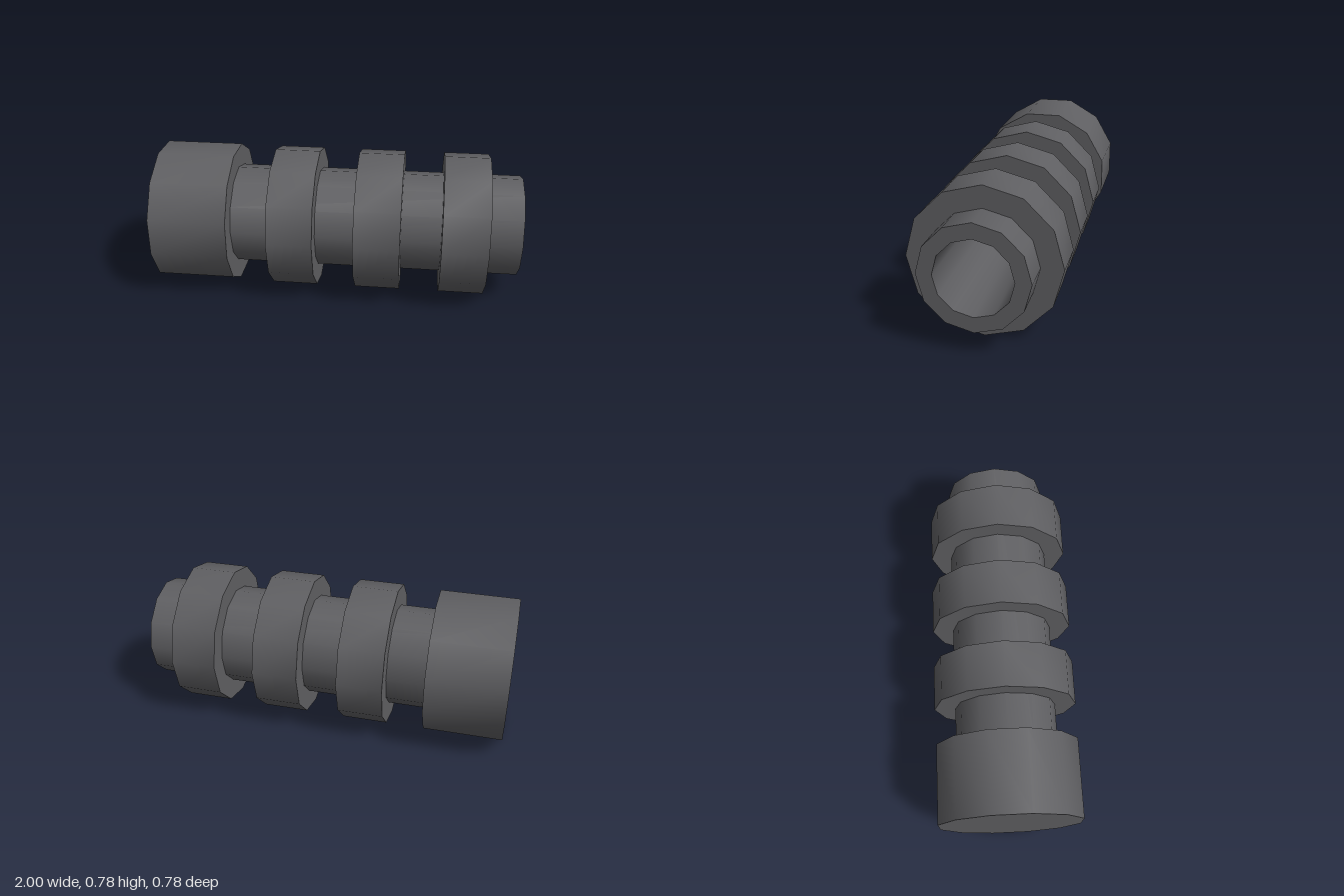
import * as THREE from 'three';
import { toCreasedNormals } from 'three/addons/utils/BufferGeometryUtils.js';

const SIDES = 12;
const RADIUS = 0.392;

// Turned part along x: profile given as [radius, x], outer side from -x to +x
function turned(name, profile, material, phiStart = 0) {
  const points = profile.map(([r, x]) => new THREE.Vector2(r, x));
  const lathe = new THREE.LatheGeometry(points, SIDES, phiStart);
  const geometry = toCreasedNormals(lathe, Math.PI / 4);
  geometry.rotateZ(-Math.PI / 2);
  const mesh = new THREE.Mesh(geometry, material);
  mesh.name = name;
  return mesh;
}

export function createModel() {
  const group = new THREE.Group();
  group.name = 'ribbedBarrel';
  const darkMetal = new THREE.MeshStandardMaterial({ color: 0x5f5f62 });
  darkMetal.name = 'darkMetal';

  // Solid base block, turned half a facet from the rings
  group.add(turned('base', [[0, -1], [RADIUS, -1], [RADIUS, -0.575], [0, -0.575]],
    darkMetal, Math.PI / SIDES));

  // Hollow tube with a blind bore open at +x
  group.add(turned('tube', [[0.277, -0.6], [0.277, 1], [0.197, 1], [0.197, -0.57], [0, -0.57]],
    darkMetal));

  // Three collars around the tube
  for (const x of [-0.235, 0.23, 0.695]) {
    const a = x - 0.124, b = x + 0.124;
    group.add(turned('collar', [[0.25, a], [RADIUS, a], [RADIUS, b], [0.25, b]], darkMetal));
  }

  group.position.y = RADIUS;
  return group;
}
